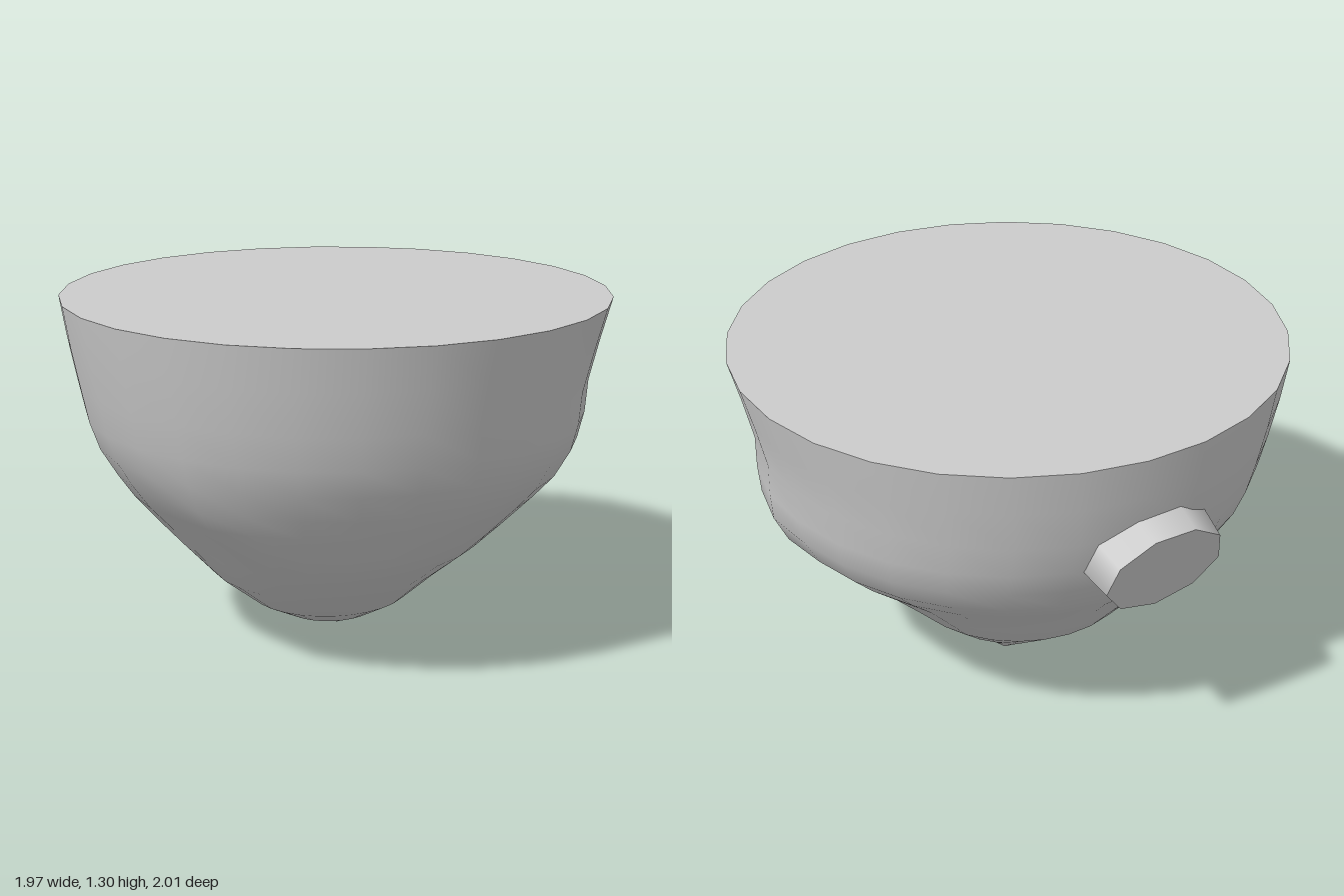
import * as THREE from 'three';

const SEG = 28;
// Cross-sections from rim to tip: [y, xMin, xMax, zMin, zMax]
const RINGS = [
  [1.3, -0.985, 0.985, -0.98, 0.995],
  [1.15, -0.96, 0.945, -0.96, 0.965],
  [1.0, -0.93, 0.91, -0.93, 0.93],
  [0.88, -0.905, 0.905, -0.90, 0.90],
  [0.78, -0.87, 0.885, -0.86, 0.86],
  [0.68, -0.81, 0.83, -0.80, 0.80],
  [0.6, -0.755, 0.75, -0.73, 0.74],
  [0.5, -0.67, 0.635, -0.63, 0.665],
  [0.4, -0.58, 0.53, -0.545, 0.58],
  [0.27, -0.46, 0.395, -0.43, 0.42],
  [0.15, -0.31, 0.27, -0.275, 0.26],
  [0.08, -0.18, 0.155, -0.185, 0.13],
  [0.03, -0.03, 0.075, -0.12, 0.0],
  [0.0, 0.02, 0.04, -0.085, -0.06],
];

function ringPoint([y, x0, x1, z0, z1], i) {
  const a = (i / SEG) * Math.PI * 2;
  const p = new THREE.Vector3(
    (x0 + x1) / 2 + ((x1 - x0) / 2) * Math.cos(a), y,
    (z0 + z1) / 2 + ((z1 - z0) / 2) * Math.sin(a));
  if (y > 1.2) return p;
  // local bulges and dents: [x, y, z, reach, outward amount]
  for (const [bx, by, bz, reach, push] of [
    [0.83, 0.7, -0.1, 0.17, 0.035],
    [-0.6, 0.46, 0.33, 0.17, -0.04],
    [-0.62, 0.63, 0.5, 0.14, 0.025],
    [0.2, 0.3, 0.42, 0.2, -0.02],
  ]) {
    const d = p.distanceTo(new THREE.Vector3(bx, by, bz)) / reach;
    const k = 1 + push * Math.exp(-d * d) / Math.max(0.3, Math.hypot(p.x, p.z));
    p.x *= k;
    p.z *= k;
  }
  return p;
}

function surface(points, index) {
  const g = new THREE.BufferGeometry().setFromPoints(points);
  g.setIndex(index);
  g.computeVertexNormals();
  return g;
}

export function createModel() {
  const group = new THREE.Group();
  const material = new THREE.MeshStandardMaterial({ color: 0xcccccc });
  const add = (name, geometry, mat = material) => {
    const mesh = new THREE.Mesh(geometry, mat);
    mesh.name = name;
    group.add(mesh);
    return mesh;
  };

  // Tapering rock body, smooth all round
  const points = [], index = [];
  for (const ring of RINGS)
    for (let i = 0; i < SEG; i++) points.push(ringPoint(ring, i));
  for (let r = 0; r < RINGS.length - 1; r++) {
    for (let i = 0; i < SEG; i++) {
      const a = r * SEG + i, b = r * SEG + ((i + 1) % SEG);
      index.push(a, b, a + SEG, b, b + SEG, a + SEG);
    }
  }
  // close the tip
  const last = (RINGS.length - 1) * SEG;
  for (let i = 1; i < SEG - 1; i++) index.push(last, last + i, last + i + 1);
  add('rockBody', surface(points, index));

  // Flat top
  const rim = [new THREE.Vector3(0, 1.3, 0)], fan = [];
  for (let i = 0; i < SEG; i++) {
    rim.push(ringPoint(RINGS[0], i));
    fan.push(0, 1 + ((i + 1) % SEG), 1 + i);
  }
  add('flatTop', surface(rim, fan));

  // Broken-off stump on the back, a short flared plug with a flat face
  const side = new THREE.Vector3(-0.95, 0, 0.3).normalize();
  const out = new THREE.Vector3(-0.29, -0.28, -0.91).normalize();
  const up = new THREE.Vector3().crossVectors(side, out).normalize();
  const plug = new THREE.CylinderGeometry(1, 1.12, 0.2, 9);
  plug.translate(0, -0.1, 0);
  plug.scale(0.225, 1, 0.17);
  plug.applyMatrix4(new THREE.Matrix4().makeBasis(side, out, up));
  plug.translate(-0.3, 0.87, -0.935);
  add('brokenStump', plug);

  return group;
}
